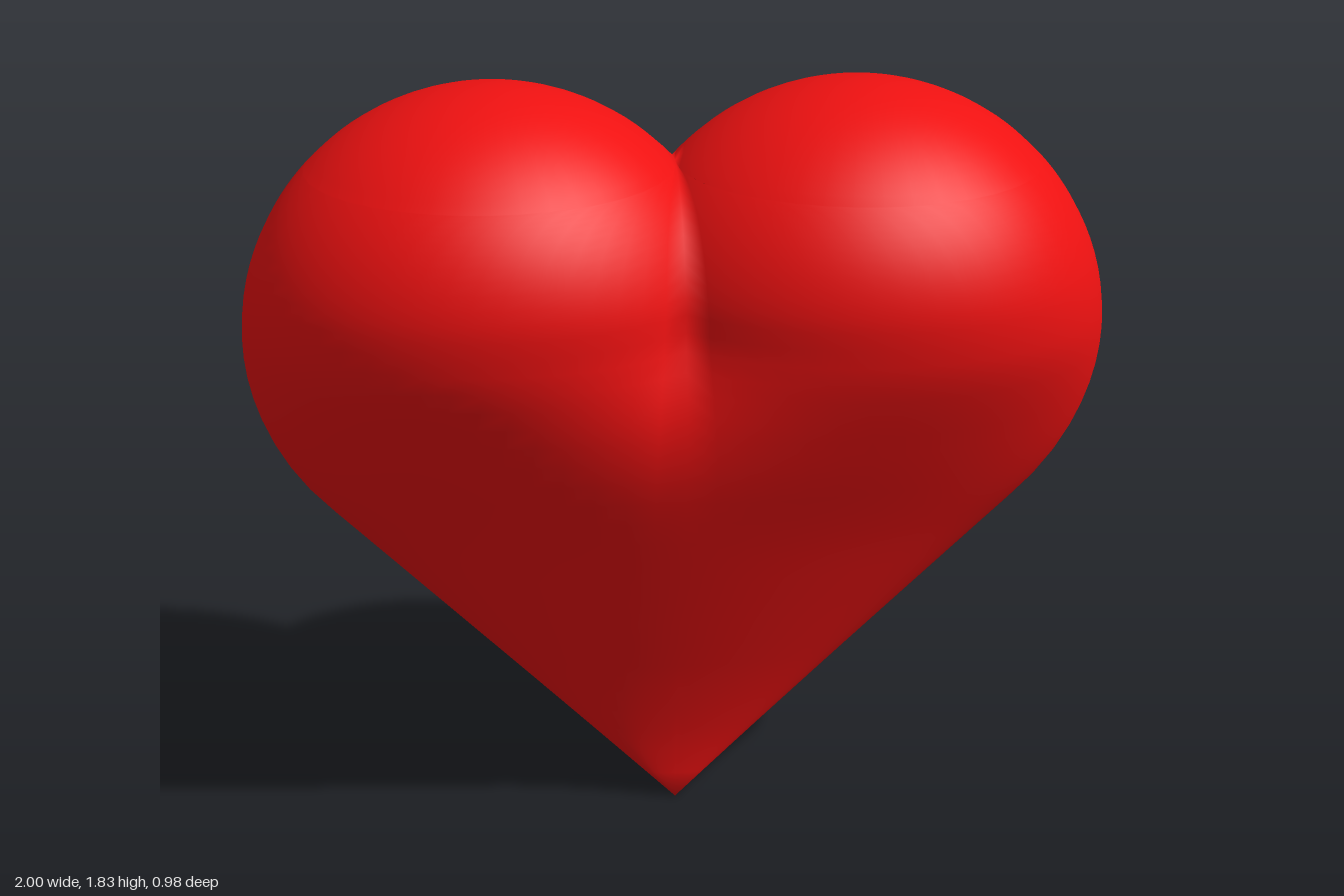
import * as THREE from 'three';
import { mergeVertices } from 'three/addons/utils/BufferGeometryUtils.js';

const LOBE_X = 0.42, LOBE_Y = 1.25, R = 0.58, TOP = LOBE_Y + R;
const NOTCH = LOBE_Y + Math.sqrt(R * R - LOBE_X * LOBE_X);
const WIDEST = 1.4; // height of the greatest depth

// Half depth by height for the tapering lower body
const taper = [[0, 0], [0.1, 0.015], [0.2, 0.04], [0.37, 0.1], [0.6, 0.197],
  [0.84, 0.3], [1.0, 0.368], [1.18, 0.437], [1.28, 0.472], [WIDEST, 0.49]];

function halfDepth(y) {
  if (y >= WIDEST) return 0.49 * Math.sqrt(Math.max(0, 1 - ((y - WIDEST) / (TOP - WIDEST)) ** 2));
  const k = taper.findIndex(p => p[0] > y);
  const [y0, d0] = taper[k - 1], [y1, d1] = taper[k];
  return d0 + (d1 - d0) * (y - y0) / (y1 - y0);
}

// Outer edge: straight diagonal from the tip, then the round lobe
function outerEdge(y) {
  const tangentY = LOBE_Y - R * Math.SQRT1_2;
  if (y < tangentY) return y * (LOBE_X + R * Math.SQRT1_2) / tangentY;
  return LOBE_X + Math.sqrt(Math.max(0, R * R - (y - LOBE_Y) ** 2));
}

// Heights of the cross-sections, denser toward the top
function sectionHeights() {
  const ys = [];
  for (let i = 0; i < 36; i++) ys.push(NOTCH * Math.sin((i / 36) * Math.PI / 2));
  for (let i = 0; i <= 14; i++) ys.push(NOTCH + (TOP - NOTCH) * Math.sin((i / 14) * Math.PI / 2));
  return ys;
}

// Each section is two mirrored ellipses, cut off where they meet at x = 0
function heartGeometry() {
  const ys = sectionHeights(), N = 40, pos = [], index = [];
  for (const side of [1, -1]) {
    const base = pos.length / 3;
    ys.forEach((y, i) => {
      const c = LOBE_X * THREE.MathUtils.smoothstep(y, 0.75, 1.35);
      const a = Math.max(outerEdge(y) - c, 1e-6);
      const start = Math.acos(Math.max(-1, -c / a));
      const d = halfDepth(y);
      for (let j = 0; j <= N; j++) {
        const t = start * (1 - 2 * j / N);
        pos.push(side * (c + a * Math.cos(t)), y, d * Math.sin(t));
        if (i === ys.length - 1 || j === N) continue;
        const p = base + i * (N + 1) + j, q = p + N + 1;
        if (side > 0) index.push(p, p + 1, q, p + 1, q + 1, q);
        else index.push(p, q, p + 1, p + 1, q, q + 1);
      }
    });
  }
  const g = new THREE.BufferGeometry();
  g.setAttribute('position', new THREE.Float32BufferAttribute(pos, 3));
  g.setIndex(index);
  const merged = mergeVertices(g, 1e-4);
  merged.computeVertexNormals();
  return merged;
}

export function createModel() {
  const group = new THREE.Group();
  const heart = new THREE.Mesh(heartGeometry(), new THREE.MeshStandardMaterial({ color: 0xee1111 }));
  heart.name = 'heart';
  group.add(heart);
  return group;
}
